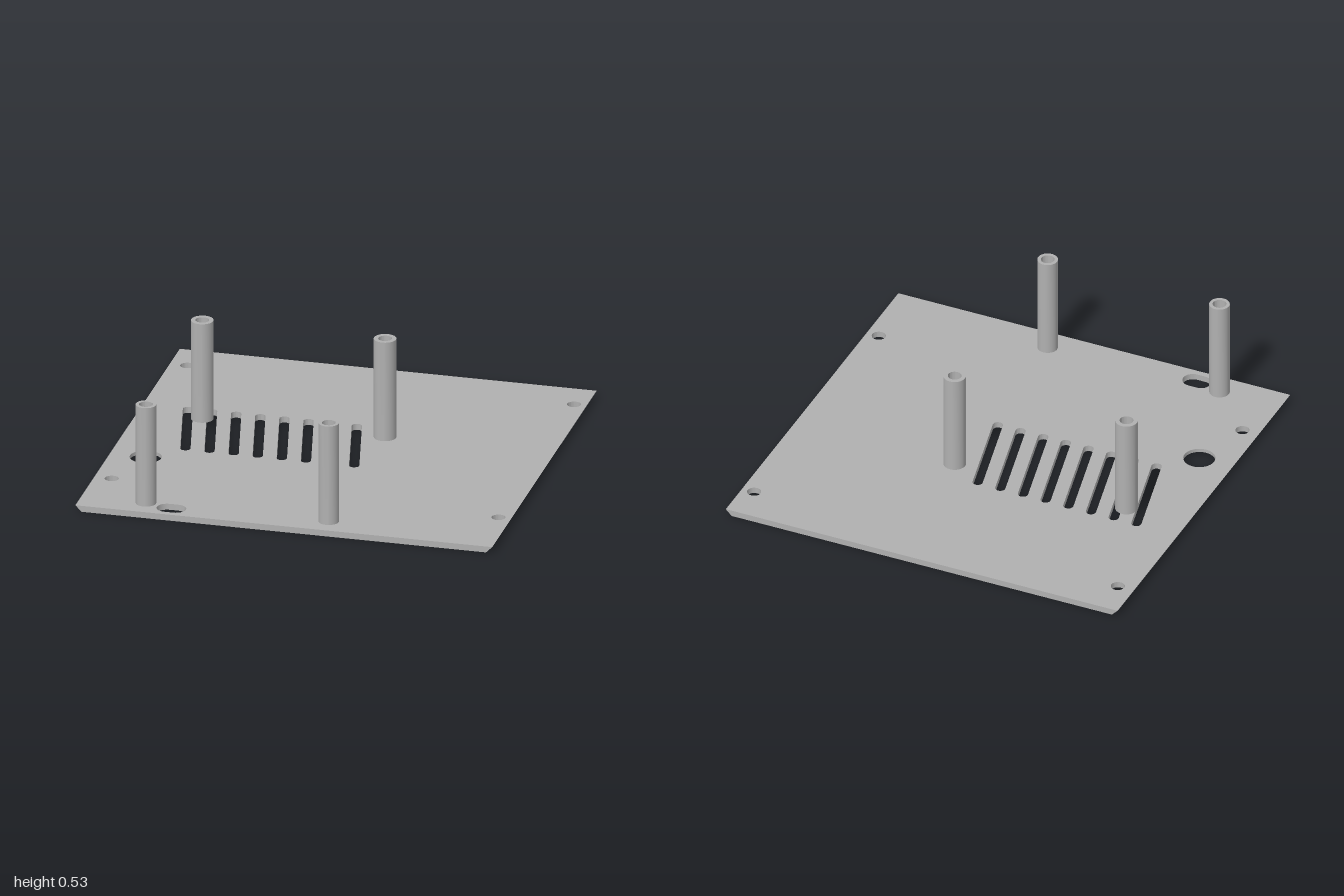
import * as THREE from 'three';
import { toCreasedNormals } from 'three/addons/utils/BufferGeometryUtils.js';

const HALF_Z = 0.967;   // half depth of the plate
const TOP = 0.03;       // plate thickness
const RECESS = 0.012;   // depth of the cuts in the underside

// Closed slot outline between two points (a circle when they coincide); shape y is -z
function slot(x1, z1, x2, z2, r, n = 16) {
  const a = Math.atan2(-(z2 - z1), x2 - x1);
  const pts = [];
  const arc = (x, z, start) => {
    for (let i = 0; i <= n; i++) {
      const t = start + (Math.PI * i) / n;
      pts.push(new THREE.Vector2(x + r * Math.cos(t), -z + r * Math.sin(t)));
    }
  };
  arc(x2, z2, a - Math.PI / 2);
  arc(x1, z1, a + Math.PI / 2);
  // drop repeated points
  return new THREE.Path(pts.filter((p, i) => p.distanceTo(pts[(i + 1) % pts.length]) > 1e-5));
}
const circle = (x, z, r) => slot(x, z, x, z, r);

// Flat slab from y0 to y1 whose left and right edges slope inwards below
function slab(zBack, zFront, y0, y1, holes) {
  const shape = new THREE.Shape([[-1, -zFront], [1, -zFront], [1, -zBack], [-1, -zBack]]
    .map(([x, y]) => new THREE.Vector2(x, y)));
  shape.holes.push(...holes);
  const geo = new THREE.ExtrudeGeometry(shape, { depth: y1 - y0, bevelEnabled: false });
  geo.rotateX(-Math.PI / 2).translate(0, y0, 0);
  const p = geo.attributes.position;
  for (let i = 0; i < p.count; i++) {
    const x = p.getX(i);
    if (Math.abs(x) > 0.99) p.setX(i, Math.sign(x) * (1 - (TOP - p.getY(i))));
  }
  return toCreasedNormals(geo, 0.6);
}

export function createModel() {
  const model = new THREE.Group();
  const grey = new THREE.MeshStandardMaterial({ color: 0xb0b0b0 });
  grey.name = 'grey';
  const add = (name, geo) => {
    const mesh = new THREE.Mesh(geo, grey);
    mesh.name = name;
    model.add(mesh);
    return mesh;
  };

  // Openings that pass right through the plate
  const vents = [];
  for (let i = 0; i < 8; i++) {
    const x = -0.783 + i * 0.1157;
    vents.push(slot(x, -0.281, x + 0.107, 0.18, 0.024));
  }
  const screwHoles = (z) => [-0.917, 0.939].map((x) => circle(x, z, 0.033));
  const cableSlot = slot(-0.58, 0.89, -0.538, 0.89, 0.049);
  const frontHoles = [...vents, cableSlot, ...screwHoles(0.614)];
  const backHoles = screwHoles(-0.783);

  // Upper layer of the plate
  add('plateTop', slab(-HALF_Z, HALF_Z, RECESS, TOP,
    [...frontHoles, ...backHoles, circle(-0.829, 0.324, 0.075)]));

  // Lower layer, split by the cross groove, with the counterbore and long recess
  add('plateBottomFront', slab(-0.487, HALF_Z, 0, RECESS,
    [...frontHoles, circle(-0.829, 0.324, 0.1), slot(-0.535, 0.48, 0.535, 0.48, 0.085)]));
  add('plateBottomBack', slab(-HALF_Z, -0.508, 0, RECESS, backHoles));

  // Four hollow standoffs
  const standoff = (r) => {
    const profile = [[0, 0], [r, 0], [r, 0.496], [0.032, 0.496], [0.032, 0.004], [0, 0.004]]
      .map(([x, y]) => new THREE.Vector2(x, y));
    return toCreasedNormals(new THREE.LatheGeometry(profile, 40), 0.6);
  };
  for (const [z, r, row] of [[-0.187, 0.053, 'back'], [0.855, 0.048, 'front']]) {
    for (const [x, side] of [[-0.69, 'Right'], [0.187, 'Left']]) {
      add(`${row}${side}Standoff`, standoff(r)).position.set(x, TOP, z);
    }
  }
  return model;
}
